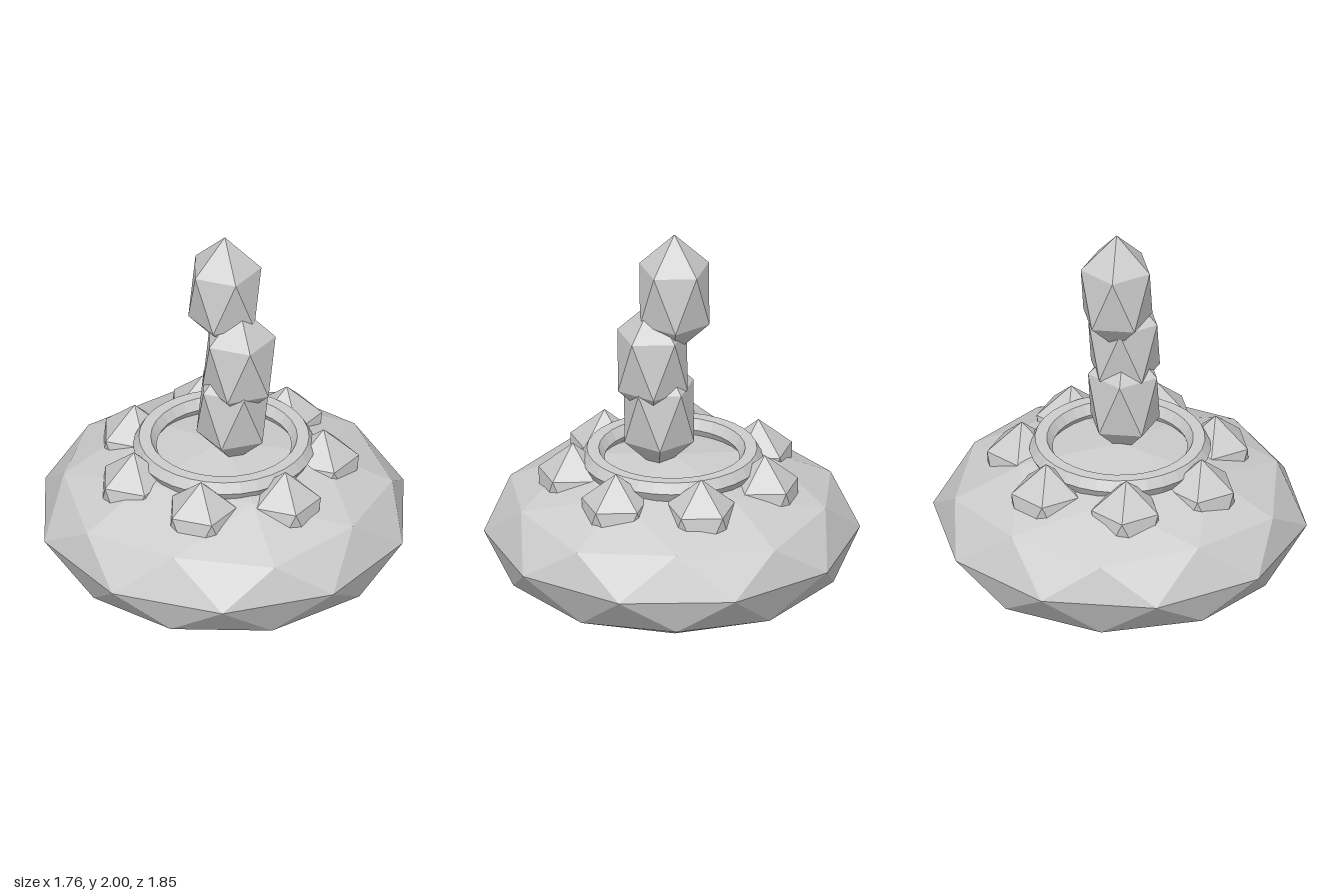
import * as THREE from 'three';

const stone = new THREE.MeshStandardMaterial({ name: 'stoneGrey', color: 0xcccccc, flatShading: true });

function addMesh(parent, name, geometry, x, y, z) {
  const mesh = new THREE.Mesh(geometry, stone);
  mesh.name = name;
  mesh.position.set(x, y, z);
  parent.add(mesh);
  return mesh;
}

// Icosahedron standing on a corner, its upper ring pointing to +x, stretched to the given radii
function crystal(radius, halfHeight, detail = 0) {
  const geometry = new THREE.IcosahedronGeometry(1, detail);
  geometry.rotateX(-Math.atan((1 + Math.sqrt(5)) / 2));
  geometry.rotateY(Math.PI / 2);
  geometry.scale(radius, halfHeight, radius);
  return geometry;
}

export function createModel() {
  const model = new THREE.Group();
  model.name = 'crystalTower';

  // Flattened faceted body
  addMesh(model, 'body', crystal(0.926, 0.405, 1), 0, 0.405, 0);

  // Six-sided collar ring lying on the body
  const collar = new THREE.TorusGeometry(0.39, 0.058, 6, 32);
  collar.rotateX(Math.PI / 2);
  addMesh(model, 'collarRing', collar, 0, 0.793, 0);

  // Seven gems around the collar, all facing the same way
  const gems = new THREE.Group();
  gems.name = 'gems';
  model.add(gems);
  const gem = crystal(0.195, 0.27);
  for (let i = 0; i < 7; i++) {
    const a = (i / 7) * Math.PI * 2;
    addMesh(gems, 'gem', gem, 0.49 * Math.cos(a), 0.615, 0.49 * Math.sin(a));
  }

  // Leaning stack of three long crystals
  const column = new THREE.Group();
  column.name = 'column';
  model.add(column);
  const segment = crystal(0.201, 0.32);
  const centres = [[0.045, 1.047, 0.047], [0.075, 1.33, 0.065], [0.004, 1.682, -0.017]];
  for (const [x, y, z] of centres) addMesh(column, 'columnCrystal', segment, x, y, z);

  return model;
}
